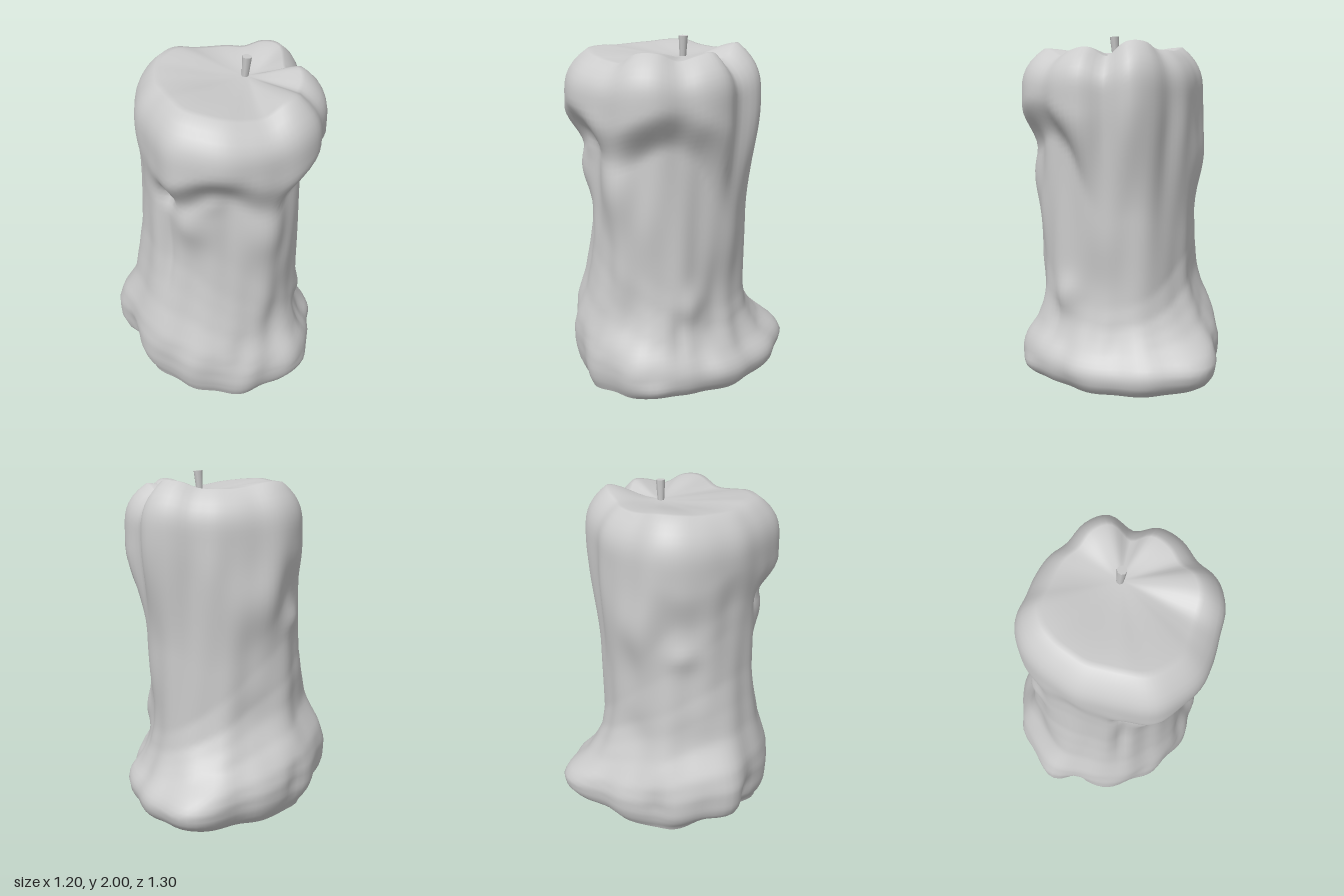
import * as THREE from 'three';

const SEG = 96, ROWS = 60, CAP = 14;
const CX = 0.05, CZ = 0.1;        // axis of the wax body
const WX = 0.13, WZ = 0.005;      // wick position

// Radii around the axis every 15 degrees, from +x towards +z
const LIP = [.515, .55, .55, .525, .53, .55, .55, .55, .505, .48, .485, .485, .505, .525, .52, .48, .475, .48, .475, .53, .55, .485, .53, .535];
const WAIST = [.42, .425, .43, .44, .42, .41, .40, .41, .435, .455, .46, .465, .48, .48, .47, .45, .445, .45, .45, .465, .465, .45, .42, .415];
const BASE = [.53, .57, .56, .54, .54, .53, .53, .55, .57, .585, .61, .66, .64, .63, .63, .61, .63, .70, .75, .67, .62, .58, .54, .53];
// Flare of the melted foot by height (in units of its bulge height)
const FLARE = [[0, .6], [.25, .82], [.55, .95], [1, 1], [1.4, .88], [2, .48], [2.6, .25], [3.2, .09], [4.2, 0]];
// Rim heights every 15 degrees
const RIM = [1.89, 1.93, 1.93, 1.88, 1.885, 1.905, 1.92, 1.93, 1.935, 1.93, 1.93, 1.935, 1.94, 1.95, 1.95, 1.93, 1.92, 1.92, 1.925, 1.96, 1.955, 1.88, 1.93, 1.915];
// Local lumps and dents: angle, height, angular width, height width, amount
const LUMPS = [
  [100, 1.27, 15, .17, .065], [190, 1.18, 10, .08, .03], [118, 1.4, 6, .06, -.05],
  [120, 1.0, 5, .3, -.03], [350, .55, 10, .1, .035], [25, 1.0, 9, .2, .025],
  [40, .45, 13, .18, -.045], [64, .3, 8, .15, -.025], [15, .09, 10, .06, .03],
  [45, 1.22, 17, .2, .05], [0, .4, 6, .15, -.03], [335, .2, 9, .12, .03],
  [150, .2, 5, .12, -.04], [205, .25, 6, .15, -.03], [165, .07, 30, .06, -.06],
  [85, 1.42, 9, .07, .02], [225, 1.3, 16, .2, .05], [225, .6, 18, .15, -.03],
  [180, .62, 22, .15, -.035], [318, .6, 18, .22, -.035],
];

const smooth = THREE.MathUtils.smoothstep;
const mix = THREE.MathUtils.lerp;

// Smooth periodic lookup into a ring of values
function ring(table, deg) {
  const n = table.length, f = deg / 360 * n, i = Math.floor(f), t = f - i;
  const [a, b, c, d] = [-1, 0, 1, 2].map(k => table[(i + k + n) % n]);
  return b + .5 * t * (c - a + t * (2 * a - 5 * b + 4 * c - d + t * (3 * (b - c) + d - a)));
}

function curve(points, u) {
  for (let i = 1; i < points.length; i++) {
    const [u0, v0] = points[i - 1], [u1, v1] = points[i];
    if (u <= u1) return mix(v0, v1, (u - u0) / (u1 - u0));
  }
  return points[points.length - 1][1];
}

function bell(deg, centre, width) {
  const d = ((deg - centre + 540) % 360) - 180;
  return Math.exp(-(d * d) / (width * width));
}

const bottomY = a => .035 - .03 * bell(a, 75, 25) + .04 * bell(a, 165, 30) + .02 * bell(a, 5, 20);

function waxRadius(a, y) {
  const th = a * Math.PI / 180, s = Math.sin(th), c = Math.cos(th);
  const waist = ring(WAIST, a);
  // foot spreading outwards
  const bulge = .2 - .07 * c + .06 * s;
  let r = waist + (ring(BASE, a) - waist) * curve(FLARE, Math.max(0, y - bottomY(a)) / bulge);
  // sagging collar, fading slowly on the back
  const sag = 1.46 + .05 * Math.sin(5 * th + 1);
  const fade = mix(.08, .5, smooth(-s, .2, .8));
  r += (ring(LIP, a) - waist) * smooth(y, sag - fade, sag + .16);
  // vertical runs of wax
  const mid = smooth(y, .1, .4) * (1 - smooth(y, 1.4, 1.75));
  r += mid * (.006 * Math.sin(9 * th + 1.4 * Math.sin(2.5 * y)) + .003 * Math.sin(16 * th + 3 * y));
  r += .012 * (1 - smooth(y, .2, .45)) * Math.sin(11 * th + 2);
  for (const [la, ly, wa, wy, amt] of LUMPS)
    r += amt * bell(a, la, wa) * Math.exp(-(((y - ly) / wy) ** 2));
  // rounded shoulder
  const q = Math.max(0, (y - 1.68) / (ring(RIM, a) - 1.68));
  return r * (1 - .24 * q ** 2.8);
}

// Closed loops of points joined into a skin ending in a point
function skin(loops, tip) {
  const pos = [...loops.flat(2), ...tip], index = [];
  for (let j = 0; j < loops.length; j++)
    for (let i = 0; i < SEG; i++) {
      const k = (i + 1) % SEG, a = j * SEG + i, b = j * SEG + k;
      if (j < loops.length - 1) index.push(a, a + SEG, b, b, a + SEG, b + SEG);
      else index.push(a, loops.length * SEG, b);
    }
  const g = new THREE.BufferGeometry();
  g.setAttribute('position', new THREE.Float32BufferAttribute(pos, 3));
  g.setIndex(index);
  g.computeVertexNormals();
  return g;
}

const loop = fn => Array.from({ length: SEG }, (_, i) => fn(i * 360 / SEG));

function sidePoint(a, t) {
  const y = mix(bottomY(a), ring(RIM, a), t), r = waxRadius(a, y), th = a * Math.PI / 180;
  return [CX + r * Math.cos(th), y, CZ + r * Math.sin(th)];
}

export function createModel() {
  const group = new THREE.Group();
  const material = new THREE.MeshStandardMaterial({ color: 0xcccccc });
  const add = (name, geometry) => {
    const mesh = new THREE.Mesh(geometry, material);
    mesh.name = name;
    group.add(mesh);
    return mesh;
  };

  // Wax body: side wall, then the sunken pool closing in on the wick
  const loops = [];
  for (let j = 0; j <= ROWS; j++) loops.push(loop(a => sidePoint(a, (j / ROWS) ** 1.15)));
  for (let j = 1; j < CAP; j++) {
    const k = 1 - j / CAP;
    loops.push(loop(a => {
      const [x, y, z] = sidePoint(a, 1);
      return [mix(WX, x, k), mix(1.89, y, smooth(k, .05, 1)), mix(WZ, z, k)];
    }));
  }
  add('waxBody', skin(loops, [WX, 1.89, WZ]));

  // Underside
  const under = [1, .6].map(k => loop(a => {
    const [x, y, z] = sidePoint((360 - a) % 360, 0);
    return [mix(CX, x, k), mix(.035, y, k), mix(CZ, z, k)];
  }));
  add('underside', skin(under, [CX, .035, CZ]));

  // Wick, leaning slightly
  const wick = add('wick', new THREE.CylinderGeometry(.026, .018, .12, 8));
  wick.position.set(WX, 1.94, WZ);
  wick.rotation.z = -.08;
  return group;
}
